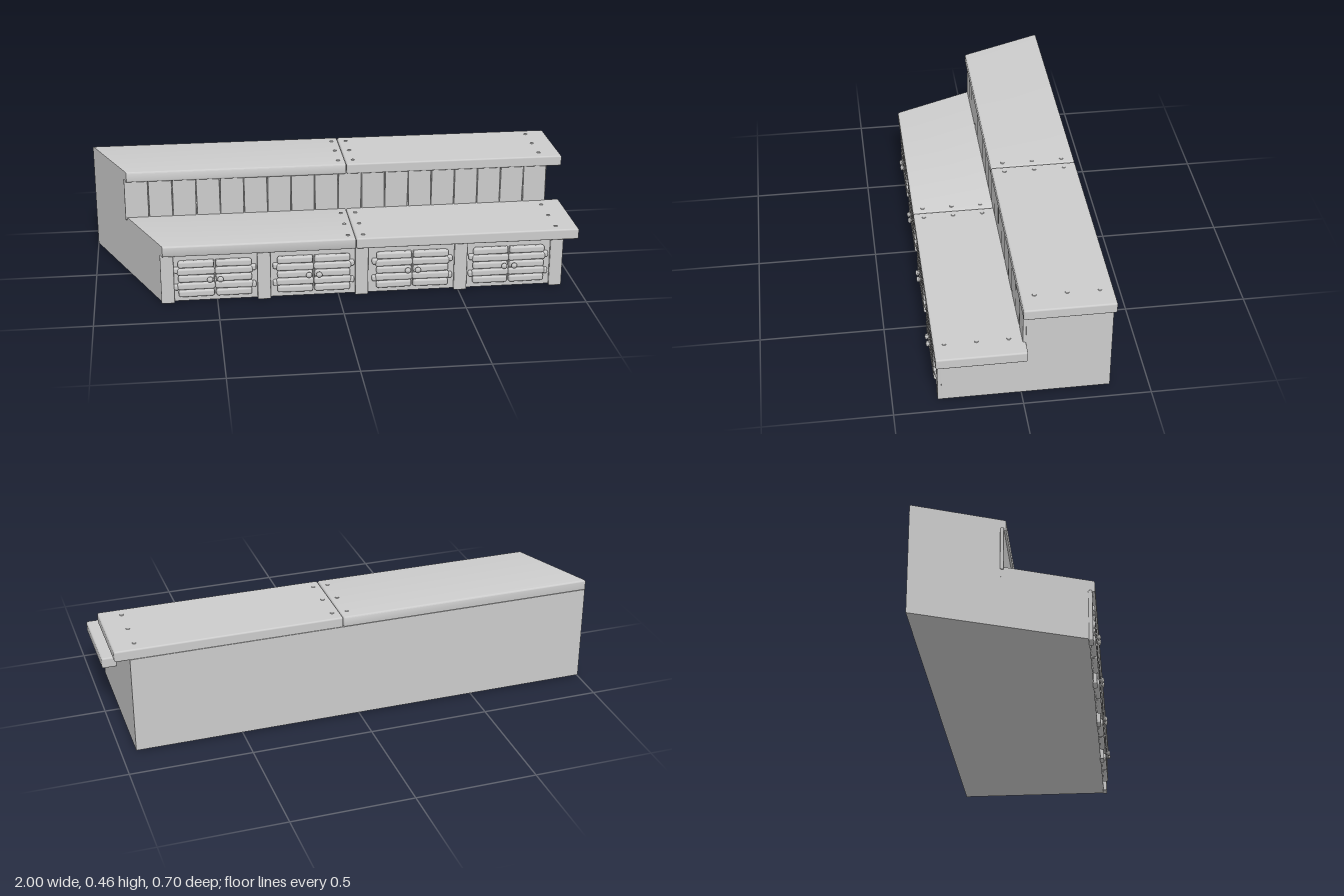
import * as THREE from 'three';
import { RoundedBoxGeometry } from 'three/addons/geometries/RoundedBoxGeometry.js';
import { toCreasedNormals } from 'three/addons/utils/BufferGeometryUtils.js';

const grey = new THREE.MeshStandardMaterial({ color: 0xcccccc });
const BACK = -0.347, SPLIT = 0.07;

// x of the angled left end at depth z
const slantX = (z) => -1 + (z - BACK) * 0.414;

function add(parent, name, geometry, x = 0, y = 0, z = 0) {
  const mesh = new THREE.Mesh(geometry, grey);
  mesh.name = name;
  mesh.position.set(x, y, z);
  parent.add(mesh);
  return mesh;
}

// Rounded box given by its minimum and maximum corners
function roundedBox(parent, name, [x0, y0, z0], [x1, y1, z1], radius) {
  const geometry = new RoundedBoxGeometry(x1 - x0, y1 - y0, z1 - z0, 2, radius);
  return add(parent, name, geometry, (x0 + x1) / 2, (y0 + y1) / 2, (z0 + z1) / 2);
}

// Moves every vertex left of the limit onto the angled end plane
function cutLeftEnd(geometry, limit) {
  const p = geometry.attributes.position;
  for (let i = 0; i < p.count; i++) {
    if (p.getX(i) < limit) p.setX(i, slantX(p.getZ(i)));
  }
  return toCreasedNormals(geometry, 0.6);
}

// Stepped carcass, extruded along x
function addBody(parent) {
  const profile = new THREE.Shape([
    [BACK, 0.005], [0.31, 0.005], [0.31, 0.212], [-0.015, 0.212], [-0.015, 0.417], [BACK, 0.417],
  ].map(([z, y]) => new THREE.Vector2(-z, y)));
  const geometry = new THREE.ExtrudeGeometry(profile, { depth: 1.94, bevelEnabled: false });
  geometry.rotateY(Math.PI / 2).translate(-1, 0, 0);
  add(parent, 'body', cutLeftEnd(geometry, 0));
}

// Two-piece worktop with bolts beside the joint and near the right end
function addTop(parent, name, y0, y1, z0, z1, boltZ) {
  const top = new THREE.Group();
  top.name = name;
  const left = new RoundedBoxGeometry(1, y1 - y0, z1 - z0, 3, 0.007);
  left.translate(SPLIT - 0.501, (y0 + y1) / 2, (z0 + z1) / 2);
  add(top, 'leftSlab', cutLeftEnd(left, SPLIT - 0.5));
  roundedBox(top, 'rightSlab', [SPLIT + 0.001, y0, z0], [1, y1, z1], 0.007);
  const bolt = new THREE.CylinderGeometry(0.007, 0.009, 0.004, 12);
  for (const x of [0.04, 0.103, 0.91]) {
    for (const z of boltZ) add(top, 'bolt', bolt, x, y1 + 0.0005, z);
  }
  parent.add(top);
}

// Upright boards of the splashback, each leaning a little
function addSplashback(parent) {
  const group = new THREE.Group();
  group.name = 'splashback';
  const count = 18, start = -0.867, pitch = (0.938 - start) / count;
  for (let i = 0; i < count; i++) {
    const x = start + i * pitch;
    const board = roundedBox(group, 'splashBoard', [x + 0.001, 0.245, -0.017], [x + pitch - 0.001, 0.425, -0.003], 0.004);
    board.rotation.z = 0.012 * Math.sin(i * 2.7);
  }
  parent.add(group);
}

// Pair of slatted doors with hinges and knobs
function addDoors(parent, cx, knobGeometry) {
  const doors = new THREE.Group();
  doors.name = 'doorPair';
  for (const side of [-1, 1]) {
    roundedBox(doors, 'doorPanel', [side * 0.073 - 0.07, 0.03, 0.305], [side * 0.073 + 0.07, 0.184, 0.321], 0.003);
    for (let i = 0; i < 5; i++) {
      const y = 0.043 + i * 0.032;
      const half = i % 2 ? 0.077 : 0.073;
      const slat = roundedBox(doors, 'slat', [side * 0.077 - half, y - 0.015, 0.311], [side * 0.077 + half, y + 0.015, 0.332], 0.009);
      slat.rotation.z = 0.012 * Math.sin(i * 2.1 + side + cx * 9);
    }
    for (const y of [0.07, 0.145]) {
      roundedBox(doors, 'hinge', [side * 0.156 - 0.012, y - 0.012, 0.306], [side * 0.156 + 0.012, y + 0.012, 0.328], 0.007);
    }
    add(doors, 'knob', knobGeometry, side * 0.021, 0.107, 0.329);
  }
  doors.position.x = cx;
  parent.add(doors);
}

export function createModel() {
  const model = new THREE.Group();
  model.name = 'steppedCounter';

  addBody(model);
  addTop(model, 'lowerTop', 0.21, 0.256, -0.015, 0.335, [0.047, 0.17, 0.293]);
  addTop(model, 'upperTop', 0.415, 0.46, BACK, 0.005, [-0.295, -0.171, -0.047]);
  addSplashback(model);

  // Front posts
  for (const x of [-0.702, -0.308, 0.095, 0.508, 0.912]) {
    roundedBox(model, 'frontPost', [x - 0.027, 0, 0.307], [x + 0.027, 0.214, 0.325], 0.005);
  }

  // Knob turned on a lathe and pointed forward
  const knob = new THREE.LatheGeometry([
    [0.008, 0], [0.005, 0.004], [0.006, 0.007], [0.012, 0.01], [0.0125, 0.014], [0.008, 0.018], [0, 0.02],
  ].map(([r, h]) => new THREE.Vector2(r, h)), 14).rotateX(Math.PI / 2);
  for (const x of [-0.508, -0.104, 0.305, 0.709]) addDoors(model, x, knob);

  return model;
}
